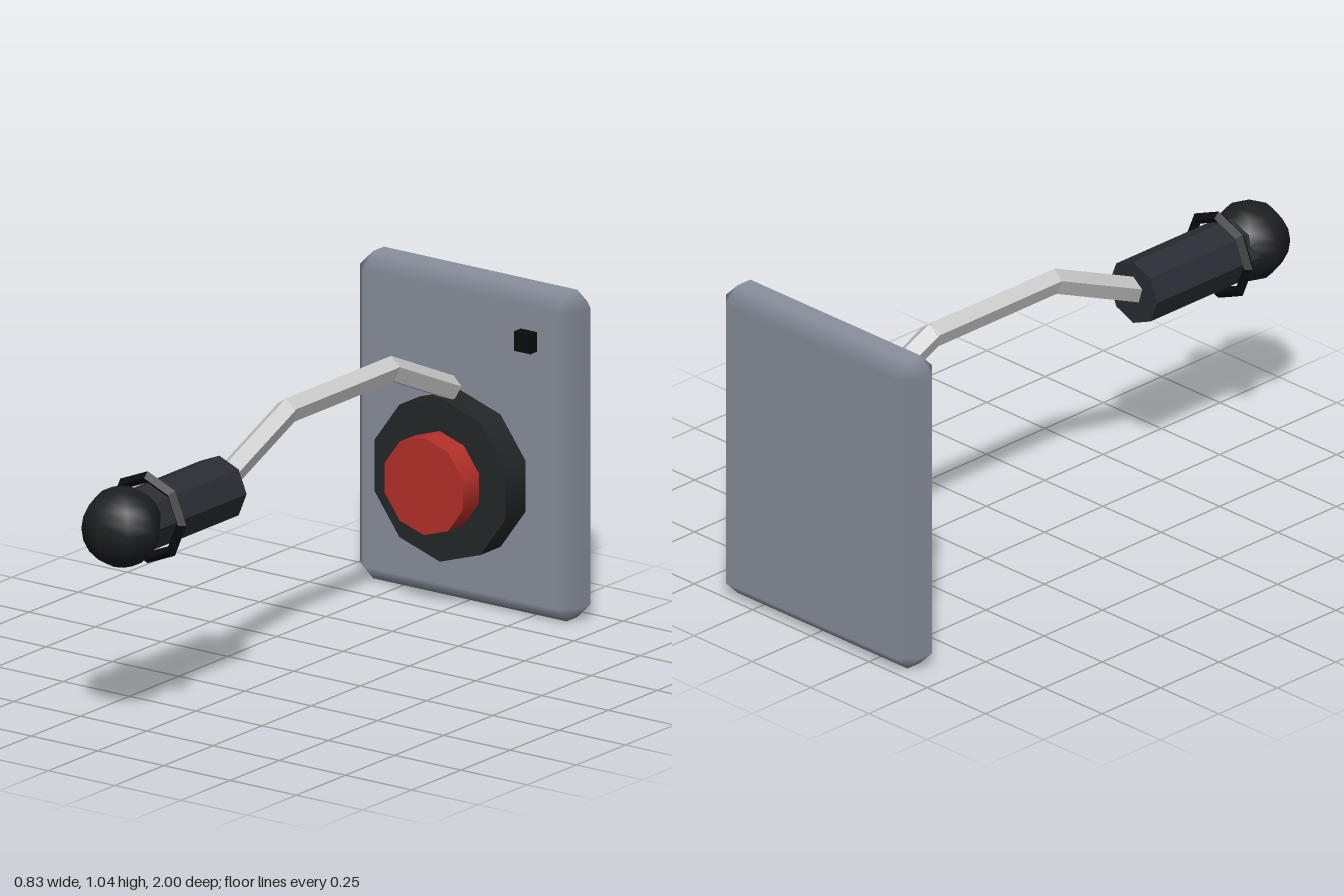
import * as THREE from 'three';
import { ConvexGeometry } from 'three/addons/geometries/ConvexGeometry.js';

const material = (color, flatShading = false) => new THREE.MeshStandardMaterial({ color, flatShading });

function addMesh(group, name, geometry, mat, x, y, z) {
  const mesh = new THREE.Mesh(geometry, mat);
  mesh.name = name;
  mesh.position.set(x, y, z);
  group.add(mesh);
  return mesh;
}

// Box with one bevel on every edge; flat faces stay flat, bevels blend between them
function beveledBox(w, h, d, bevel) {
  const half = [w / 2, h / 2, d / 2];
  const points = [];
  for (let axis = 0; axis < 3; axis++)
    for (const sx of [-1, 1]) for (const sy of [-1, 1]) for (const sz of [-1, 1]) {
      const p = [sx, sy, sz].map((s, i) => s * (half[i] - (i === axis ? 0 : bevel)));
      points.push(new THREE.Vector3(...p));
    }
  const geometry = new ConvexGeometry(points);
  const pos = geometry.attributes.position, normal = geometry.attributes.normal;
  for (let i = 0; i < pos.count; i++) {
    const p = [pos.getX(i), pos.getY(i), pos.getZ(i)];
    normal.setXYZ(i, ...p.map((v, k) => (Math.abs(v) > half[k] - 1e-4 ? Math.sign(v) : 0)));
  }
  return geometry;
}

// Prism lying along z between two depths, with a corner pointing up
function addPrism(group, name, radius, sides, y, z0, z1, mat) {
  const geometry = new THREE.CylinderGeometry(radius, radius, z1 - z0, sides).rotateX(Math.PI / 2);
  return addMesh(group, name, geometry, mat, 0, y, (z0 + z1) / 2);
}

export function createModel() {
  const model = new THREE.Group();
  model.name = 'wallLever';
  const black = material(0x0b0c0d, true);

  // Wall plate with its dial and small button
  addMesh(model, 'backPlate', beveledBox(0.83, 1.04, 0.155, 0.05), material(0x89909d), 0, 0.52, -0.9225);
  addPrism(model, 'dialBase', 0.26, 10, 0.42, -0.86, -0.742, material(0x242727));
  addPrism(model, 'dialCap', 0.155, 10, 0.42, -0.76, -0.66, material(0xb6302a));
  addMesh(model, 'smallButton', new THREE.BoxGeometry(0.062, 0.062, 0.05), black, 0.26, 0.887, -0.835);

  // Bent arm of three five-sided rods, as [z, y] joints from front to back
  const arm = new THREE.Group();
  arm.name = 'arm';
  model.add(arm);
  const armMaterial = material(0xcccccc, true);
  const joints = [[0.41, 0.675], [0.035, 0.837], [-0.485, 0.837], [-0.79, 0.7]];
  for (let i = 0; i < joints.length - 1; i++) {
    const [z0, y0] = joints[i], [z1, y1] = joints[i + 1];
    const length = Math.hypot(z1 - z0, y1 - y0) + 0.014;
    const rod = addMesh(arm, 'armRod' + (i + 1), new THREE.CylinderGeometry(0.04, 0.04, length, 5),
      armMaterial, 0, (y0 + y1) / 2, (z0 + z1) / 2);
    rod.rotation.x = Math.atan2(z1 - z0, y1 - y0);
  }

  // Grip with collar ring and end ball
  const gripY = 0.678;
  addPrism(model, 'grip', 0.103, 8, gripY, 0.38, 0.82, material(0x2b2d34, true));
  addMesh(model, 'gripRing', new THREE.TorusGeometry(0.128, 0.018, 4, 8), black, 0, gripY, 0.745);
  addMesh(model, 'endBall', new THREE.SphereGeometry(0.125, 8, 10), material(0x1d1e21), 0, gripY + 0.003, 0.875);

  return model;
}
